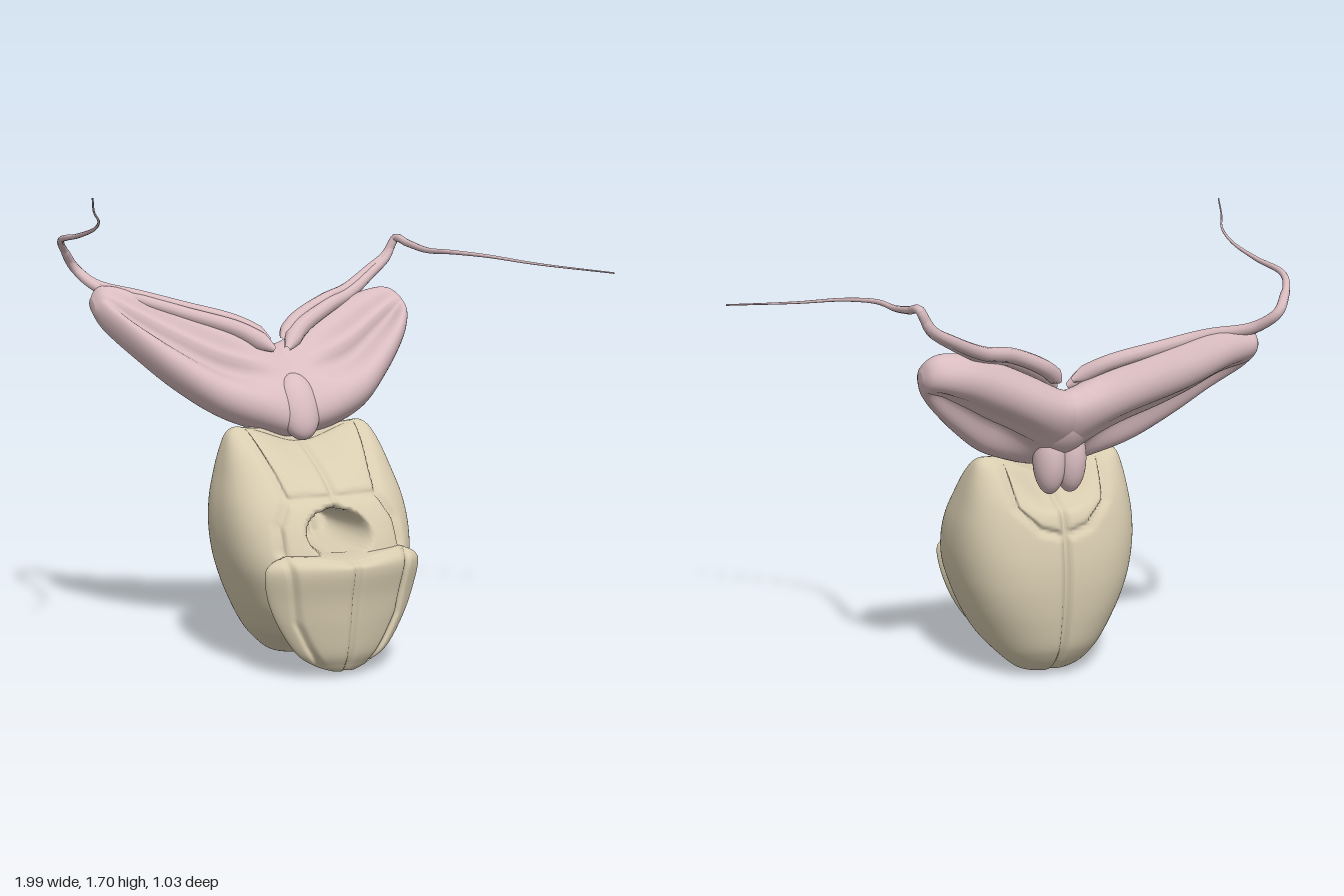
import * as THREE from 'three';

const CX = -0.085; // middle line of the body
const SHELL = new THREE.MeshStandardMaterial({ color: 0xd8ccb0 });
const FLESH = new THREE.MeshStandardMaterial({ color: 0xd9bcc0 });

// Smooth lookup through the rows of a section table, t = 0..1
function table(rows) {
  const curves = rows[0].map((_, c) => new THREE.SplineCurve(rows.map((r, i) => new THREE.Vector2(i, r[c]))));
  return t => curves.map(c => c.getPoint(t).y);
}

// Closed skin over nv + 1 rings of nu points, capped at both ends, turned outwards
function skin(nu, nv, fn) {
  const pos = [], idx = [];
  for (let j = 0; j <= nv; j++)
    for (let i = 0; i < nu; i++) pos.push(...fn(i / nu * Math.PI * 2, j / nv));
  for (let j = 0; j < nv; j++)
    for (let i = 0; i < nu; i++) {
      const a = j * nu + i, b = j * nu + (i + 1) % nu;
      idx.push(a, b, b + nu, a, b + nu, a + nu);
    }
  for (const j of [0, nv]) {
    const m = [0, 0, 0], n = pos.length / 3;
    for (let i = 0; i < nu; i++) for (let k = 0; k < 3; k++) m[k] += pos[(j * nu + i) * 3 + k] / nu;
    pos.push(...m);
    for (let i = 0; i < nu; i++) {
      const a = j * nu + i, b = j * nu + (i + 1) % nu;
      idx.push(...(j ? [a, b, n] : [b, a, n]));
    }
  }
  const v = i => new THREE.Vector3().fromArray(pos, idx[i] * 3);
  let volume = 0;
  for (let i = 0; i < idx.length; i += 3) volume += v(i).dot(v(i + 1).cross(v(i + 2)));
  if (volume < 0) idx.reverse();
  const g = new THREE.BufferGeometry();
  g.setAttribute('position', new THREE.Float32BufferAttribute(pos, 3));
  g.setIndex(idx);
  g.computeVertexNormals();
  return g;
}

const bell = (d, w) => Math.exp(-((d / w) ** 2));
const step = (x, a, b) => THREE.MathUtils.smoothstep(x, a, b);
const squircle = (th, n) => (Math.abs(Math.cos(th)) ** n + Math.abs(Math.sin(th)) ** n) ** (-1 / n);

// Distance from (x, y) to a polyline
function lineDistance(x, y, pts) {
  let best = 9;
  for (let i = 1; i < pts.length; i++) {
    const [ax, ay] = pts[i - 1], dx = pts[i][0] - ax, dy = pts[i][1] - ay;
    const t = THREE.MathUtils.clamp(((x - ax) * dx + (y - ay) * dy) / (dx * dx + dy * dy), 0, 1);
    best = Math.min(best, Math.hypot(x - ax - t * dx, y - ay - t * dy));
  }
  return best;
}

const SEAMS = [
  [[0.24, 0.87], [0.2, 0.72], [0.185, 0.63], [0.23, 0.55], [0.235, 0.46]],
  [[0, 0.63], [0.1, 0.635], [0.185, 0.63]],
];
const BACK_SEAM = [[0, 0.58], [0.1, 0.61], [0.18, 0.7], [0.2, 0.85]];
const PLATE_SEAM = [[0.1, 0.05], [0.15, 0.13], [0.195, 0.22], [0.21, 0.32], [0.235, 0.47]];

// Main body: y, back z, front z, half width
function bodyGeometry() {
  const at = table([
    [0.006, -0.03, 0.04, 0.06], [0.025, -0.075, 0.095, 0.12], [0.06, -0.12, 0.16, 0.165],
    [0.105, -0.155, 0.26, 0.21], [0.15, -0.178, 0.36, 0.245], [0.22, -0.195, 0.41, 0.28],
    [0.3, -0.207, 0.43, 0.31], [0.4, -0.213, 0.44, 0.338], [0.5, -0.208, 0.405, 0.35],
    [0.6, -0.19, 0.345, 0.346], [0.7, -0.16, 0.26, 0.326], [0.78, -0.12, 0.18, 0.306],
    [0.835, -0.08, 0.105, 0.285], [0.86, -0.045, 0.055, 0.26], [0.866, -0.02, 0.025, 0.24],
  ]);
  return skin(220, 110, (th, t) => {
    let [y, zb, zf, hw] = at(t);
    const r = squircle(th, 2.15 + 0.6 * step(y, 0.05, 0.4)), c = (zb + zf) / 2;
    let x = hw * r * Math.cos(th), z = (zf - zb) / 2 * r * Math.sin(th);
    const front = z > 0, ax = Math.abs(x);
    // seams pressed into the surface
    let cut = bell(x, 0.013) * 0.025;
    for (const s of front ? SEAMS : [BACK_SEAM])
      cut = Math.max(cut, bell(lineDistance(ax, y, s), 0.012) * 0.022);
    const len = Math.hypot(x, z) || 1, k = 1 - Math.min(cut / len, 0.6);
    x *= k; z *= k;
    // round opening in the front
    if (front) {
      const e = Math.hypot((x + 0.015) / 0.125, (y - 0.515) / 0.085);
      z -= 0.27 * (1 - step(e, 0.55, 1.02));
    }
    // saddle between the two upper horns
    y -= (0.07 + 0.07 * step(-z, 0, 0.08)) * step(y, 0.62, 0.87) * bell(x, 0.16);
    return [CX + x, y, c + z];
  });
}

// Keeled lower front plate hanging below the opening
function plateGeometry() {
  const at = table([
    [0.026, 0.385, 0.415, 0.045], [0.05, 0.35, 0.432, 0.11], [0.1, 0.315, 0.458, 0.18],
    [0.2, 0.28, 0.478, 0.245], [0.3, 0.26, 0.492, 0.285], [0.39, 0.26, 0.512, 0.3],
    [0.43, 0.27, 0.506, 0.28], [0.455, 0.31, 0.47, 0.22],
  ]);
  return skin(160, 60, (th, t) => {
    const [y, zb, zf, hw] = at(t), r = squircle(th, 1.5);
    const x = hw * r * Math.cos(th);
    let z = (zb + zf) / 2 + (zf - zb) / 2 * r * Math.sin(th);
    if (th < Math.PI) z -= 0.02 * bell(x, 0.01) + 0.016 * bell(lineDistance(Math.abs(x), y, PLATE_SEAM), 0.011);
    return [CX + x, y - 0.02 * step(t, 0.75, 1) * bell(x, 0.1), z];
  });
}

// Fleshy lobe: x, low y, high y, front z, back z, half thickness
function lobeGeometry(rows) {
  const at = table(rows);
  return skin(72, 64, (th, t) => {
    const [x, y0, y1, z0, z1, b] = at(t);
    const hy = (y1 - y0) / 2 * 0.9, hz = (z1 - z0) / 2 * 0.9, l = Math.hypot(hy, hz) || 1;
    const r = squircle(th, 2.4), c = r * Math.cos(th), s = r * Math.sin(th);
    const mid = step(t, 0.2, 0.5) * (1 - step(t, 0.72, 0.95));
    // long hollows on both faces, with a low ridge inside, between thick rims
    const dent = 1 - mid * (0.72 * bell(c + 0.05, 0.45) - 0.28 * bell(c - 0.1, 0.13));
    const n = b * s * dent + 0.012 * mid;
    return [x, (y0 + y1) / 2 + hy * c - hz / l * n, (z0 + z1) / 2 + hz * c + hy / l * n];
  });
}

// Tube that thins from r0 to r1 along its path
function strandGeometry(pts, r0, r1, power, seg = 90) {
  const curve = new THREE.CatmullRomCurve3(pts.map(p => new THREE.Vector3(...p)));
  const sides = 10, g = new THREE.TubeGeometry(curve, seg, 1, sides), p = g.attributes.position;
  const v = new THREE.Vector3();
  for (let i = 0; i <= seg; i++) {
    const c = curve.getPointAt(i / seg), r = (r1 + (r0 - r1) * (1 - i / seg) ** power) * Math.min(1, 0.3 + i / 4);
    for (let j = 0; j <= sides; j++) {
      const k = i * (sides + 1) + j;
      v.fromBufferAttribute(p, k).sub(c).multiplyScalar(r).add(c);
      p.setXYZ(k, v.x, v.y, v.z);
    }
  }
  return g;
}

export function createModel() {
  const model = new THREE.Group();
  const add = (name, geometry, material) => {
    const m = new THREE.Mesh(geometry, material);
    m.name = name;
    model.add(m);
    return m;
  };

  add('body', bodyGeometry(), SHELL);
  add('frontPlate', plateGeometry(), SHELL);

  add('rightLobe', lobeGeometry([
    [0.0, 0.9, 1.0, -0.04, -0.16, 0.03], [-0.04, 0.84, 1.1, 0.04, -0.25, 0.08],
    [-0.12, 0.815, 1.13, 0.06, -0.27, 0.1], [-0.22, 0.835, 1.165, 0.04, -0.28, 0.11],
    [-0.36, 0.885, 1.22, -0.01, -0.33, 0.11], [-0.5, 0.985, 1.27, -0.07, -0.39, 0.105],
    [-0.62, 1.1, 1.315, -0.16, -0.43, 0.09], [-0.7, 1.2, 1.33, -0.27, -0.445, 0.065],
    [-0.735, 1.26, 1.3, -0.35, -0.41, 0.02],
  ]), FLESH);
  add('leftLobe', lobeGeometry([
    [-0.16, 0.9, 1.0, -0.04, -0.16, 0.03], [-0.12, 0.84, 1.1, 0.04, -0.25, 0.08],
    [-0.04, 0.83, 1.13, 0.06, -0.28, 0.1], [0.07, 0.85, 1.18, 0.06, -0.31, 0.115],
    [0.2, 0.9, 1.24, 0.02, -0.34, 0.115], [0.32, 1.0, 1.28, -0.05, -0.37, 0.105],
    [0.42, 1.11, 1.285, -0.12, -0.38, 0.09], [0.475, 1.18, 1.275, -0.19, -0.35, 0.06],
    [0.498, 1.22, 1.25, -0.25, -0.3, 0.02],
  ]), FLESH);

  // Ridge and knobs joining the lobes to the body
  for (const [name, x, y, z, sx, sy, sz, tilt] of [
    ['frontRidge', 0, 0.92, 0.01, 0.08, 0.13, 0.065, -0.5],
    ['rearKnob', -0.04, 0.86, -0.125, 0.06, 0.13, 0.07, 0],
    ['rearKnob', 0.04, 0.86, -0.125, 0.06, 0.13, 0.07, 0],
    ['rearHub', 0, 0.99, -0.16, 0.1, 0.12, 0.08, -0.5],
  ]) {
    const knob = add(name, new THREE.SphereGeometry(1, 32, 20), FLESH);
    knob.position.set(CX + x, y, z);
    knob.scale.set(sx, sy, sz);
    knob.rotation.x = tilt;
  }

  // Paired strands: a long whip and a shorter cord laid beside its thick part
  const right = [
    [-0.13, 1.12, -0.09], [-0.24, 1.19, -0.16], [-0.42, 1.25, -0.23], [-0.57, 1.3, -0.3],
    [-0.7, 1.345, -0.42], [-0.76, 1.41, -0.49], [-0.81, 1.48, -0.46], [-0.855, 1.525, -0.36],
    [-0.86, 1.55, -0.15], [-0.87, 1.58, 0.05], [-0.91, 1.615, 0.22], [-0.96, 1.65, 0.32], [-0.998, 1.7, 0.42],
  ];
  const left = [
    [-0.08, 1.12, -0.09], [0, 1.19, -0.15], [0.14, 1.26, -0.21], [0.28, 1.3, -0.3],
    [0.42, 1.37, -0.39], [0.51, 1.43, -0.43], [0.545, 1.5, -0.43], [0.55, 1.485, -0.33],
    [0.55, 1.465, -0.17], [0.57, 1.465, -0.02], [0.65, 1.455, 0.11], [0.78, 1.43, 0.25],
    [0.99, 1.402, 0.45],
  ];
  for (const [side, path] of [['right', right], ['left', left]]) {
    add(side + 'Whip', strandGeometry(path, 0.036, 0.003, 1.6), FLESH);
    const cord = path.slice(0, 7).map(([x, y, z], i) => {
      const k = 1 - i / 6;
      return [x, y + 0.03 * k, z - 0.045 * k];
    });
    add(side + 'Cord', strandGeometry(cord, 0.032, 0.016, 0.8, 50), FLESH);
  }
  return model;
}
